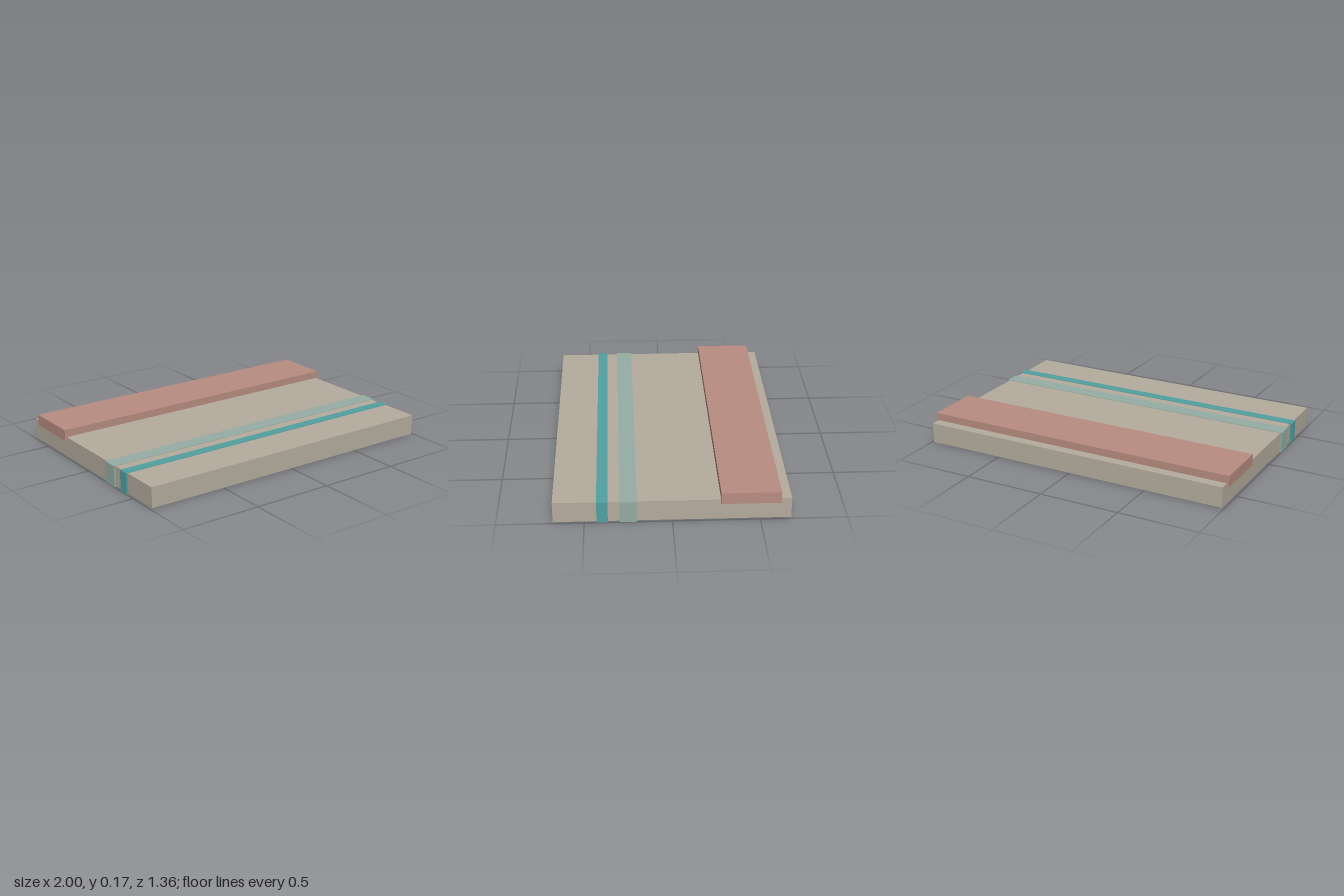
import * as THREE from 'three';

const material = (name, color) => {
  const m = new THREE.MeshStandardMaterial({ color });
  m.name = name;
  return m;
};

// Box given by its half width in x and its limits in y and z
function block(name, halfX, [y0, y1], [z0, z1], mat) {
  const mesh = new THREE.Mesh(new THREE.BoxGeometry(halfX * 2, y1 - y0, z1 - z0), mat);
  mesh.position.set(0, (y0 + y1) / 2, (z0 + z1) / 2);
  mesh.name = name;
  return mesh;
}

export function createModel() {
  const group = new THREE.Group();
  group.name = 'slabWithBands';

  const beige = material('beige', 0xb5ac9d);
  const rose = material('dusty rose', 0xb88d81);
  const teal = material('teal', 0x53a0a0);
  const sage = material('pale sage', 0x96ada4);

  group.add(
    // Main flat slab
    block('slab', 0.988, [0.002, 0.128], [-0.678, 0.678], beige),
    // Bands wrapped all round the slab, standing slightly proud
    block('narrowBand', 1, [0, 0.131], [0.366, 0.43], teal),
    block('wideBand', 1, [0, 0.131], [0.2, 0.299], sage),
    // Raised bar sunk into the top near the back
    block('raisedBar', 1, [0.105, 0.175], [-0.617, -0.275], rose),
  );
  return group;
}
